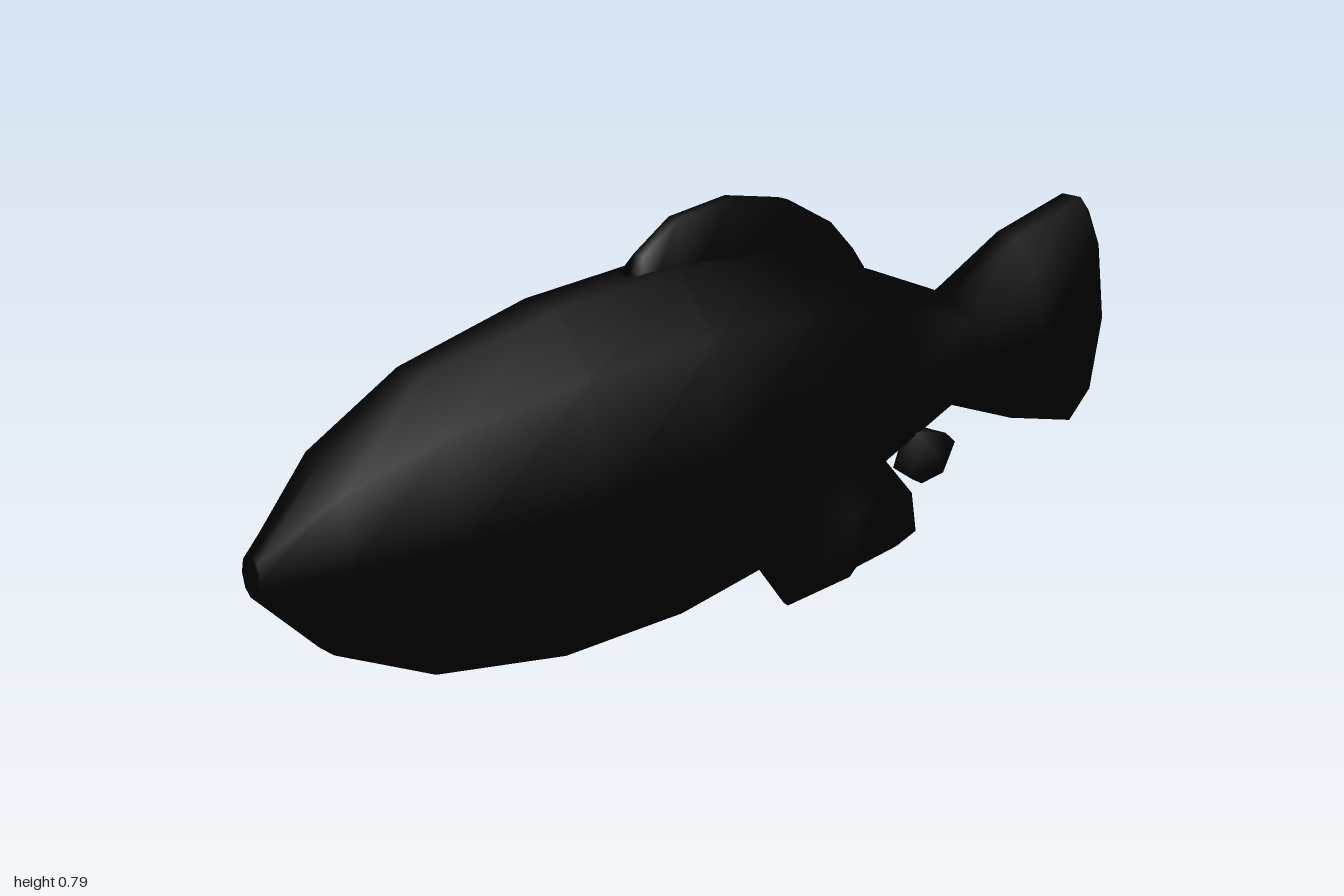
import * as THREE from 'three';
import { ConvexGeometry } from 'three/addons/geometries/ConvexGeometry.js';
import { mergeVertices } from 'three/addons/utils/BufferGeometryUtils.js';

const MID = -0.018; // z of the body's centre plane

// Ten-sided ring, as fractions of half width (z) and half height (y)
const half = [[0.25, 1], [0.76, 0.66], [1, 0], [0.76, -0.66], [0.25, -1]];
const ring = [...half, ...half.map(([z, y]) => [-z, -y])];

// Skins closed rings of points; rings run along +x
function loft(rings) {
  const n = rings[0].length, last = rings.length - 1, index = [];
  for (let i = 0; i < last; i++) {
    for (let j = 0; j < n; j++) {
      const a = i * n + j, b = i * n + (j + 1) % n;
      index.push(a, b, a + n, b, b + n, a + n);
    }
  }
  for (let j = 1; j < n - 1; j++) {
    index.push(0, j + 1, j);
    index.push(last * n, last * n + j, last * n + j + 1);
  }
  const geo = new THREE.BufferGeometry();
  geo.setAttribute('position', new THREE.Float32BufferAttribute(rings.flat(2), 3));
  geo.setIndex(index);
  geo.computeVertexNormals();
  return geo;
}

// Rounded faceted lobe spanning a few corner points
function lobe(points) {
  let geo = new ConvexGeometry(points.map((p) => new THREE.Vector3(...p)));
  geo.deleteAttribute('normal');
  geo = mergeVertices(geo, 1e-4);
  geo.computeVertexNormals();
  return geo;
}

export function createModel() {
  const group = new THREE.Group();
  const skin = new THREE.MeshStandardMaterial({ color: 0x000000, side: THREE.DoubleSide });
  const add = (name, geo) => {
    const mesh = new THREE.Mesh(geo, skin);
    mesh.name = name;
    group.add(mesh);
  };

  // Body and tail stations: x, bottom, top, half width
  const stations = [
    [-1, 0.345, 0.415, 0.025], [-0.88, 0.22, 0.54, 0.08], [-0.7, 0.13, 0.63, 0.122],
    [-0.44, 0.08, 0.685, 0.157], [-0.18, 0.077, 0.7, 0.173], [0.06, 0.108, 0.683, 0.166],
    [0.3, 0.2, 0.607, 0.14], [0.55, 0.285, 0.505, 0.09], [0.74, 0.212, 0.588, 0.105],
    [0.94, 0.158, 0.633, 0.092], [0.99, 0.195, 0.595, 0.045],
  ];
  const body = stations.map(([x, lo, hi, w]) =>
    ring.map(([z, y]) => [x, (lo + hi) / 2 + y * (hi - lo) / 2, MID + z * w]));
  // The tail's trailing edge bulges slightly in the middle
  body[body.length - 1].forEach((p) => { p[0] = 1 - 0.35 * (p[1] - 0.395) ** 2; });
  add('bodyAndTail', loft(body));

  // Dorsal fin: tapered blade; x, base height, top height
  const fin = [
    [-0.26, 0.66, 0.7], [-0.23, 0.66, 0.725], [-0.15, 0.66, 0.775], [-0.02, 0.65, 0.79],
    [0.11, 0.62, 0.765], [0.22, 0.59, 0.705], [0.28, 0.57, 0.645], [0.31, 0.56, 0.605],
  ];
  add('dorsalFin', loft(fin.map(([x, lo, hi]) => [
    [x, hi, MID + 0.012], [x, lo, MID + 0.026], [x, lo, MID - 0.026], [x, hi, MID - 0.012],
  ])));

  // Side fin: a broad paddle tucked under the belly, with a rear lobe
  add('sideFinPaddle', lobe([
    [0.05, 0.29, 0.12], [0.14, 0.32, 0.13], [0.24, 0.29, 0.11],
    [0.08, 0.225, 0.192], [0.16, 0.255, 0.18], [0.015, 0.24, 0.14],
    [0.02, 0.09, 0.11], [0.1, 0.105, 0.165], [0.06, 0.025, 0.05],
    [0.1, 0.002, 0], [0.14, 0.002, -0.02], [0.11, 0.05, -0.085],
    [0.13, 0.08, -0.08], [0.2, 0.06, 0.03], [0.22, 0.18, 0.15],
  ]));
  add('sideFinRearLobe', lobe([
    [0.16, 0.25, 0.14], [0.24, 0.285, 0.11], [0.22, 0.18, 0.15], [0.18, 0.07, 0.09],
    [0.2, 0.065, 0.02], [0.29, 0.055, 0.05], [0.335, 0.07, 0.07], [0.355, 0.175, 0.085],
    [0.33, 0.19, 0.06], [0.34, 0.11, 0.11], [0.26, 0.2, 0.02], [0.27, 0.1, 0.12],
  ]));

  // Small fin ahead of the tail
  add('rearFin', lobe([
    [0.34, 0.22, 0.05], [0.37, 0.29, 0.08], [0.43, 0.28, 0.1], [0.47, 0.25, 0.09],
    [0.475, 0.24, 0.05], [0.45, 0.19, 0.08], [0.4, 0.178, 0.07], [0.41, 0.18, 0.03],
    [0.36, 0.2, 0.08], [0.42, 0.22, 0.11], [0.42, 0.28, 0.01],
  ]));

  return group;
}
